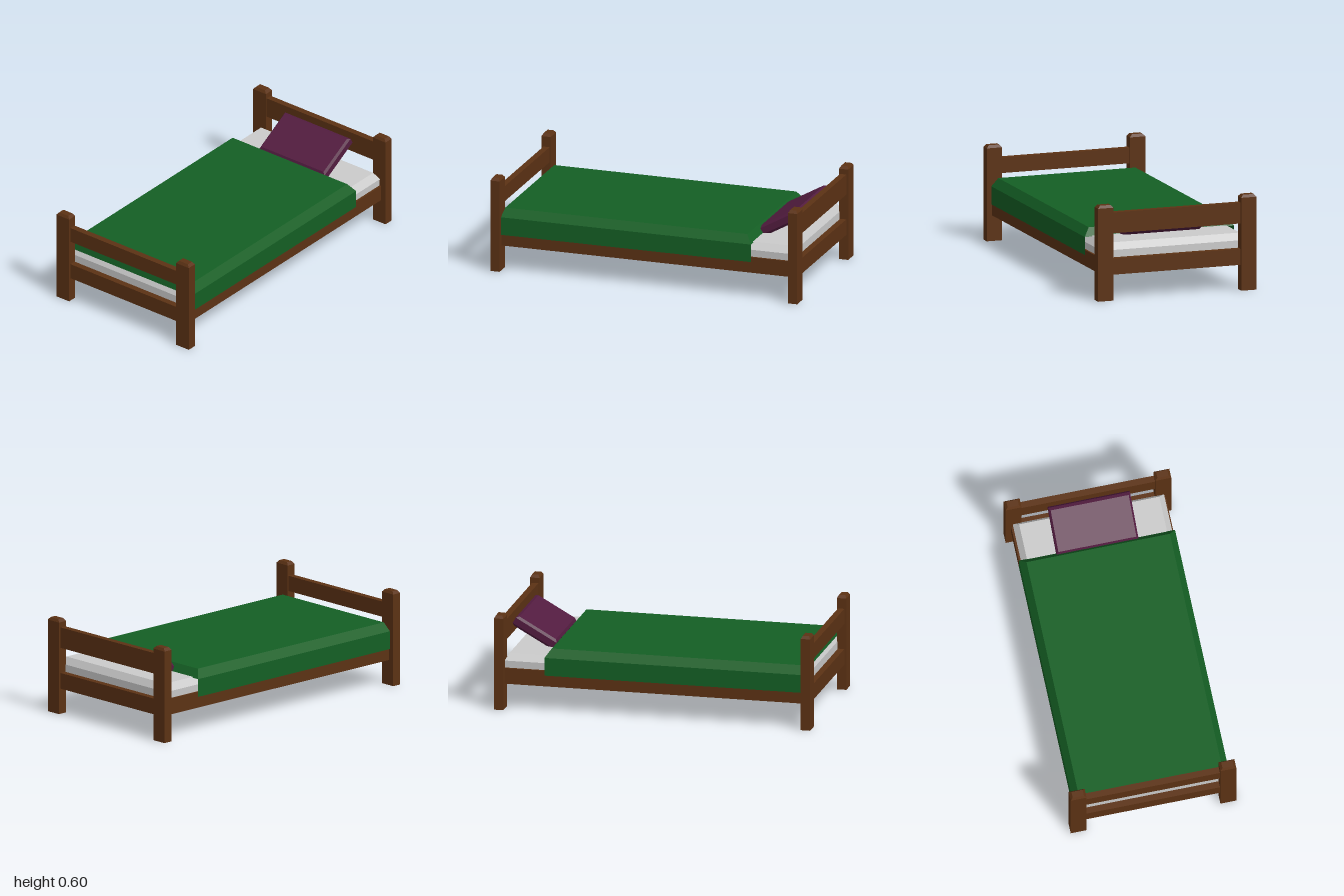
import * as THREE from 'three';
import { ConvexGeometry } from 'three/addons/geometries/ConvexGeometry.js';

const paint = (color, side = THREE.FrontSide) =>
  new THREE.MeshStandardMaterial({ color, flatShading: true, side });

// Four corners of a horizontal rectangle, counter-clockwise seen from above
const rect = (x, y, z0, z1) => [[-x, y, z1], [x, y, z1], [x, y, z0], [-x, y, z0]];

// Solid stacked from centred rectangles [halfX, y, halfZ]
const stack = levels => new ConvexGeometry(
  levels.flatMap(([x, y, z]) => rect(x, y, -z, z)).map(p => new THREE.Vector3(...p)));

// Open cover: top, sloping border and long side drops
function coverGeometry() {
  const top = rect(0.45, 0.395, -0.65, 0.927);
  const rim = rect(0.49, 0.343, -0.688, 0.942);
  const hem = rect(0.49, 0.23, -0.688, 0.942);
  const quads = [top];
  for (let i = 0; i < 4; i++) {
    const j = (i + 1) % 4;
    quads.push([rim[i], rim[j], top[j], top[i]]);
    if (i % 2) quads.push([hem[i], hem[j], rim[j], rim[i]]);
  }
  const points = quads.flatMap(([a, b, c, d]) => [a, b, c, a, c, d]).flat();
  const g = new THREE.BufferGeometry();
  g.setAttribute('position', new THREE.Float32BufferAttribute(points, 3));
  g.computeVertexNormals();
  return g;
}

export function createModel() {
  const bed = new THREE.Group();
  bed.name = 'bed';
  const wood = paint(0x5c3214);

  const add = (name, geometry, material, x = 0, y = 0, z = 0) => {
    const mesh = new THREE.Mesh(geometry, material);
    mesh.name = name;
    mesh.position.set(x, y, z);
    bed.add(mesh);
    return mesh;
  };
  const board = (name, w, y0, y1, d, x, z) =>
    add(name, new THREE.BoxGeometry(w, y1 - y0, d), wood, x, (y0 + y1) / 2, z);

  // Corner posts with chamfered tops
  const post = stack([[0.05, 0, 0.03], [0.05, 0.583, 0.03], [0.035, 0.6, 0.02]]);
  for (const x of [-0.47, 0.47])
    for (const z of [-0.97, 0.97]) add('cornerPost', post, wood, x, 0, z);

  // Frame rails and end boards
  for (const s of [-1, 1]) {
    board('endRail', 0.86, 0.16, 0.26, 0.04, 0, s * 0.967);
    board('sideRail', 0.015, 0.16, 0.26, 1.9, s * 0.4775, 0);
  }
  board('headboard', 0.86, 0.42, 0.55, 0.04, 0, -0.967);
  board('footboard', 0.86, 0.42, 0.517, 0.04, 0, 0.967);
  board('basePanel', 0.95, 0.17, 0.19, 1.9, 0, 0);

  // Mattress with sloping top edges
  add('mattress', stack([[0.468, 0.19, 0.943], [0.475, 0.305, 0.943],
    [0.44, 0.348, 0.918]]), paint(0xcccccc));

  // Blanket
  add('blanket', coverGeometry(), paint(0x145f24, THREE.DoubleSide));

  // Pillow leaning on the headboard
  const pillow = add('pillow', stack([[0.245, -0.035, 0.132], [0.257, -0.02, 0.148],
    [0.257, 0.02, 0.148], [0.245, 0.035, 0.132]]), paint(0x531c40), 0, 0.43, -0.806);
  pillow.rotation.x = 0.51;

  return bed;
}
